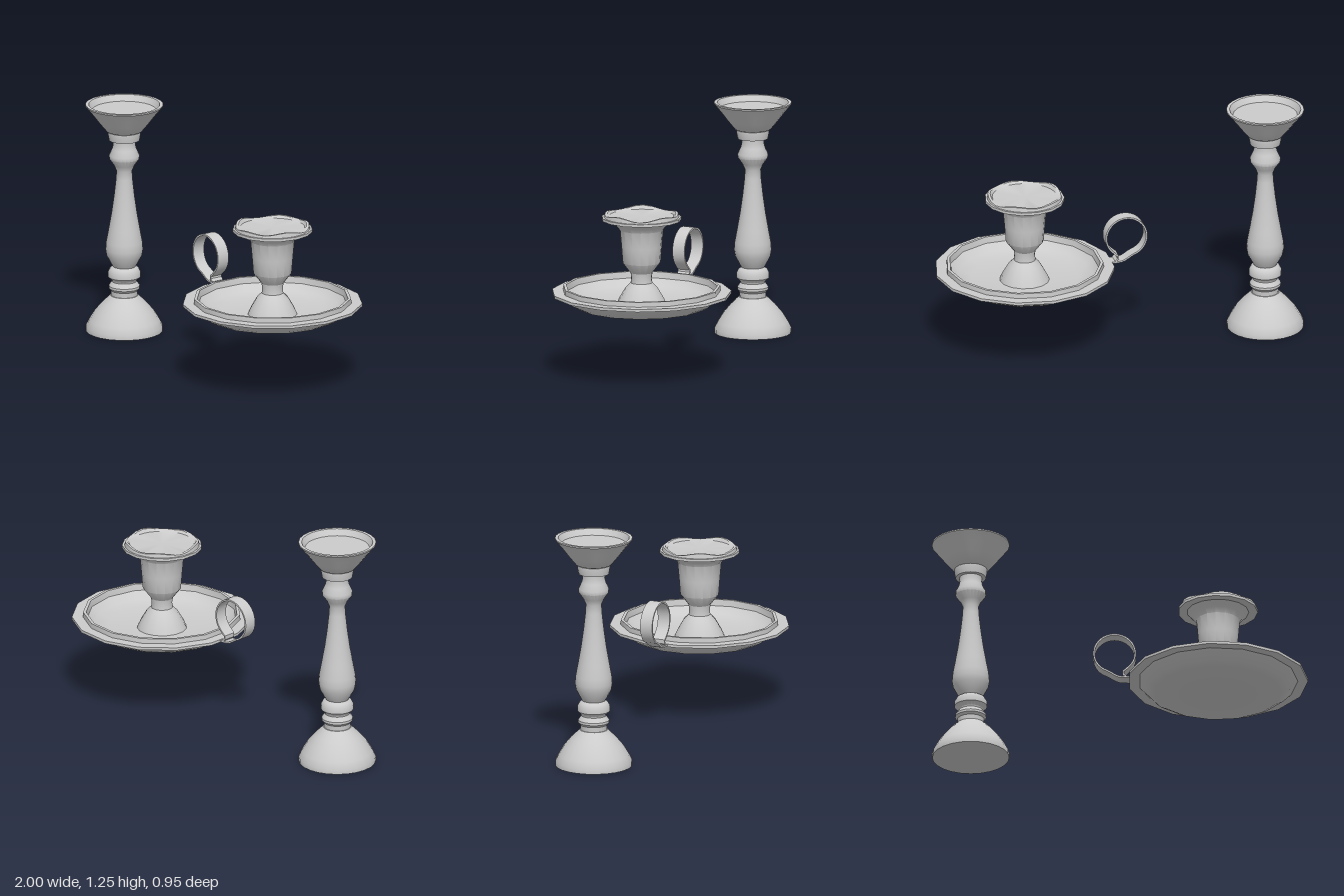
import * as THREE from 'three';
import { toCreasedNormals } from 'three/addons/utils/BufferGeometryUtils.js';

const material = new THREE.MeshStandardMaterial({ color: 0xcccccc, side: THREE.DoubleSide });

// Turned part: profile of [radius, height], running up the outside
function turned(name, profile, sides, rule) {
  const points = profile.map(([r, y]) => new THREE.Vector2(r, y));
  const geometry = new THREE.LatheGeometry(points, sides, Math.PI / 2);
  if (rule) {
    const p = geometry.attributes.position;
    for (let i = 0; i < p.count; i++) p.setY(i, rule(p.getX(i), p.getY(i), p.getZ(i)));
  }
  const mesh = new THREE.Mesh(toCreasedNormals(geometry, 0.6), material);
  mesh.name = name;
  return mesh;
}

// Flat strap of given width along z, following a centre line in the xy plane
function strap(name, points, thickness, width) {
  const curve = new THREE.CatmullRomCurve3(points.map(([x, y]) => new THREE.Vector3(x, y, 0)));
  const inner = [], outer = [];
  const steps = 44;
  for (let i = 0; i <= steps; i++) {
    const p = curve.getPointAt(i / steps), t = curve.getTangentAt(i / steps);
    const nx = -t.y * thickness / 2, ny = t.x * thickness / 2;
    outer.push(new THREE.Vector2(p.x + nx, p.y + ny));
    inner.unshift(new THREE.Vector2(p.x - nx, p.y - ny));
  }
  const shape = new THREE.Shape([...outer, ...inner]);
  const geometry = new THREE.ExtrudeGeometry(shape, { depth: width, bevelEnabled: false });
  geometry.translate(0, 0, -width / 2);
  const mesh = new THREE.Mesh(toCreasedNormals(geometry, 0.6), material);
  mesh.name = name;
  return mesh;
}

export function createModel() {
  const model = new THREE.Group();
  model.name = 'candleHolders';

  // Tall candlestick
  const tall = new THREE.Group();
  tall.name = 'tallCandlestick';
  tall.position.x = -0.795;
  tall.add(
    turned('base', [[0, 0], [0.205, 0], [0.205, 0.025], [0.187, 0.06], [0.158, 0.107],
      [0.12, 0.152], [0.075, 0.195], [0, 0.195]], 24),
    turned('lowerRings', [[0.07, 0.19], [0.072, 0.222], [0.083, 0.235], [0.083, 0.248], [0.066, 0.272],
      [0.068, 0.28], [0.087, 0.298], [0.087, 0.325], [0.076, 0.345], [0.06, 0.355]], 24),
    turned('stem', [[0.058, 0.35], [0.07, 0.37], [0.094, 0.415], [0.1, 0.45], [0.097, 0.49], [0.084, 0.56],
      [0.068, 0.65], [0.054, 0.75], [0.044, 0.84], [0.042, 0.885], [0.055, 0.915], [0.08, 0.95],
      [0.081, 0.97], [0.065, 1.005], [0.059, 1.03], [0.06, 1.055]], 24),
    turned('collar', [[0, 1.053], [0.081, 1.053], [0.087, 1.085], [0.087, 1.1], [0, 1.1]], 24),
    turned('cup', [[0.07, 1.095], [0.096, 1.105], [0.135, 1.152], [0.17, 1.198], [0.207, 1.243],
      [0.207, 1.25], [0.19, 1.25], [0.172, 1.217], [0, 1.217]], 24)
  );

  // Low chamberstick
  const low = new THREE.Group();
  low.name = 'lowCandleHolder';
  low.position.x = 0.52;
  low.add(
    turned('plate', [[0, 0.366], [0.2, 0.372], [0.34, 0.38], [0.378, 0.4], [0.425, 0.448], [0.48, 0.448],
      [0.48, 0.463], [0.422, 0.463], [0.42, 0.489], [0.404, 0.489], [0.398, 0.455], [0.36, 0.42],
      [0.29, 0.4], [0.12, 0.395], [0, 0.395]], 15),
    turned('foot', [[0.135, 0.39], [0.12, 0.425], [0.085, 0.485], [0.058, 0.512], [0.055, 0.54],
      [0.06, 0.572]], 15),
    turned('socket', [[0, 0.555], [0.058, 0.565], [0.102, 0.622], [0.109, 0.71], [0.117, 0.8],
      [0.137, 0.825], [0.165, 0.853], [0.213, 0.853], [0.213, 0.868], [0, 0.868]], 15),
    // Raised lip with an uneven melted edge
    turned('wavyLip', [[0.2, 0.866], [0.196, 0.884], [0.183, 0.884], [0.172, 0.874], [0, 0.874]], 30,
      (x, y, z) => {
        if (y < 0.88) return y;
        const a = Math.atan2(z, x);
        return y + 0.007 * Math.sin(5 * a + 0.6) + 0.004 * Math.sin(3 * a);
      })
  );

  // Finger loop: tail on the plate rim, round the ring and back to the tail
  const loop = [[0.11, 0.456], [0.05, 0.457], [-0.01, 0.462]];
  const turns = 14;
  for (let i = 0; i <= turns; i++) {
    const a = -1.85 - (i / turns) * 5.35;
    loop.push([-0.03 + 0.11 * Math.cos(a), 0.597 + 0.11 * Math.sin(a)]);
  }
  loop.push([0.012, 0.485], [0.03, 0.462]);
  const handle = strap('fingerLoop', loop, 0.009, 0.07);

  model.add(tall, low, handle);
  return model;
}
